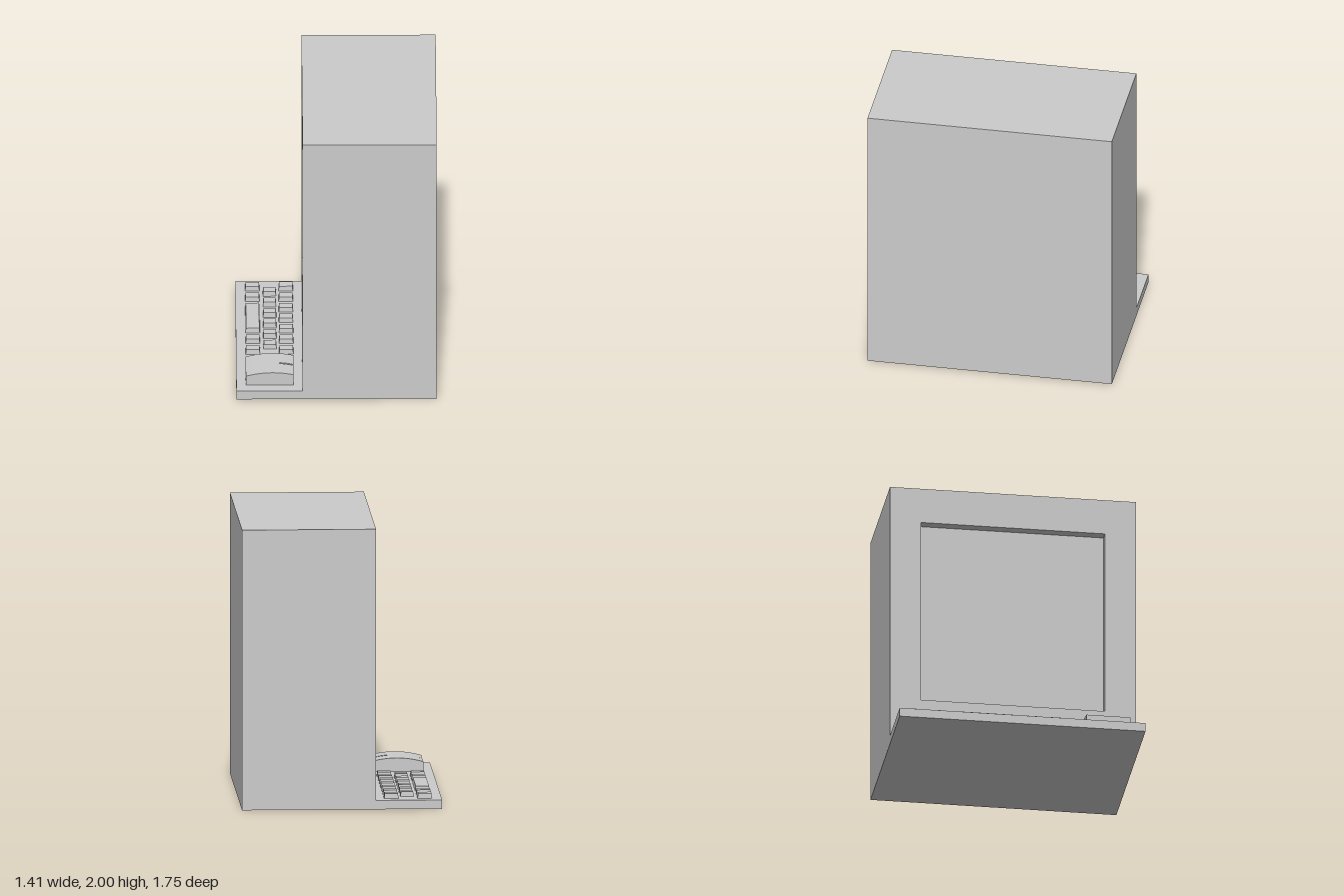
import * as THREE from 'three';

const mat = new THREE.MeshStandardMaterial({ color: 0xcccccc, flatShading: true });

function add(parent, name, geometry) {
  const mesh = new THREE.Mesh(geometry, mat);
  mesh.name = name;
  parent.add(mesh);
  return mesh;
}

// Box given by its minimum and maximum corners
function span(x0, x1, y0, y1, z0, z1) {
  return new THREE.BoxGeometry(x1 - x0, y1 - y0, z1 - z0)
    .translate((x0 + x1) / 2, (y0 + y1) / 2, (z0 + z1) / 2);
}

// Rectangle outline centred on u = 0
function rect(PathType, halfU, v0, v1) {
  return new PathType([[-halfU, v0], [halfU, v0], [halfU, v1], [-halfU, v1]]
    .map(([u, v]) => new THREE.Vector2(u, v)));
}

const W = 0.707, D = 0.877, FACE = -0.24, SCREEN = -0.17, DECK = 0.064;

// Key cap, slightly narrower at the top
function keyCap(width, length) {
  const height = 0.035, inset = 0.004;
  const g = new THREE.BoxGeometry(width, height, length);
  const p = g.attributes.position;
  for (let i = 0; i < p.count; i++) {
    if (p.getY(i) > 0) {
      p.setX(i, p.getX(i) - Math.sign(p.getX(i)) * inset);
      p.setZ(i, p.getZ(i) - Math.sign(p.getZ(i)) * inset);
    }
  }
  return g.translate(0, height / 2, 0);
}

// Slice of the mouse body: arched profile, with the top lowered past the groove start
function mouseSlice(z0, z1, grooveDepth) {
  const x0 = -0.64, x1 = -0.302, grooveX = -0.402, steps = 24;
  const top = x => 0.16 - 0.75 * (x + 0.45) ** 2;
  const shape = new THREE.Shape();
  shape.moveTo(x0, DECK);
  shape.lineTo(x1, DECK);
  const curve = (from, to, drop) => {
    for (let i = 0; i <= steps; i++) {
      const x = from + (to - from) * i / steps;
      shape.lineTo(x, top(x) - drop);
    }
  };
  if (grooveDepth) {
    curve(x1, grooveX, grooveDepth);
    curve(grooveX, x0, 0);
  } else {
    curve(x1, x0, 0);
  }
  return new THREE.ExtrudeGeometry(shape, { depth: z1 - z0, bevelEnabled: false })
    .translate(0, 0, z0);
}

export function createModel() {
  const model = new THREE.Group();
  model.name = 'desktopComputer';

  // Cabinet with its recessed screen
  const cabinet = new THREE.Group();
  cabinet.name = 'cabinet';
  model.add(cabinet);
  add(cabinet, 'cabinetBody', span(SCREEN, W, 0, 2, -D, D));
  const frame = rect(THREE.Shape, D, 0, 2);
  frame.holes.push(rect(THREE.Path, 0.655, 0.357, 1.738));
  add(cabinet, 'screenFrame',
    new THREE.ExtrudeGeometry(frame, { depth: SCREEN - FACE, bevelEnabled: false })
      .rotateY(Math.PI / 2).translate(FACE, 0, 0));

  // Deck in front of the screen
  add(model, 'deck', span(-W, FACE, 0, DECK, -D, D));

  // Keyboard: three staggered columns and a space bar
  const keyboard = new THREE.Group();
  keyboard.name = 'keyboard';
  model.add(keyboard);
  const pitch = 0.168, firstZ = -0.758;
  const columns = [
    { x: -0.588, width: 0.102, slots: [0, 1, 5, 6] },
    { x: -0.467, width: 0.094, slots: [0.5, 1.5, 2.5, 3.5, 4.5, 5.5] },
    { x: -0.352, width: 0.102, slots: [0, 1, 2, 3, 4, 5, 6] },
  ];
  for (const { x, width, slots } of columns) {
    for (const s of slots) {
      add(keyboard, 'key', keyCap(width, 0.08)).position.set(x, DECK, firstZ + s * pitch);
    }
  }
  add(keyboard, 'spaceBar', keyCap(0.102, 0.414)).position.set(-0.588, DECK, -0.257);

  // Mouse with a groove between its buttons
  const mouse = new THREE.Group();
  mouse.name = 'mouse';
  model.add(mouse);
  add(mouse, 'mouseLeftHalf', mouseSlice(0.467, 0.614, 0));
  add(mouse, 'buttonGroove', mouseSlice(0.614, 0.628, 0.015));
  add(mouse, 'mouseRightHalf', mouseSlice(0.628, 0.779, 0));

  return model;
}
